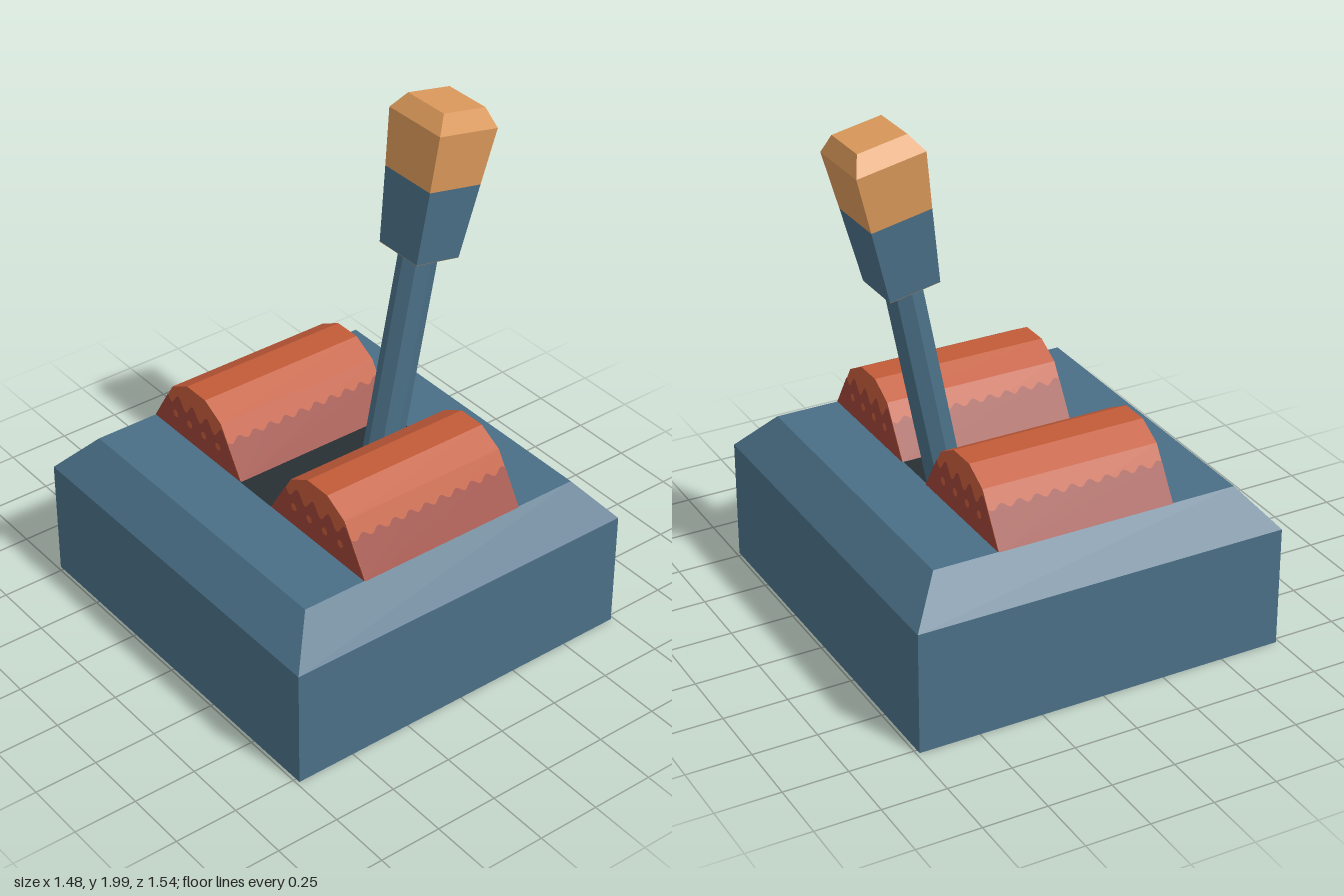
import * as THREE from 'three';

const material = (name, color) => {
  const m = new THREE.MeshStandardMaterial({ color });
  m.name = name;
  return m;
};

// Stacked rectangular rings [y, halfX, halfZ], joined by flat faces
function rings(levels, capBottom, capTop) {
  const corners = levels.map(([y, x, z]) => [[-x, y, z], [x, y, z], [x, y, -z], [-x, y, -z]]);
  const pos = [];
  const quad = (a, b, c, d) => pos.push(...a, ...b, ...c, ...a, ...c, ...d);
  for (let k = 0; k < corners.length - 1; k++) {
    const lo = corners[k], hi = corners[k + 1];
    for (let i = 0; i < 4; i++) {
      const j = (i + 1) % 4;
      quad(lo[i], lo[j], hi[j], hi[i]);
    }
  }
  if (capBottom) quad(...[...corners[0]].reverse());
  if (capTop) quad(...corners[corners.length - 1]);
  const geo = new THREE.BufferGeometry();
  geo.setAttribute('position', new THREE.Float32BufferAttribute(pos, 3));
  geo.computeVertexNormals();
  return geo;
}

function add(parent, name, geo, mat) {
  const mesh = new THREE.Mesh(geo, mat);
  mesh.name = name;
  parent.add(mesh);
  return mesh;
}

// Band with a straight foot and a wavy upper edge
function wavyBand(footHalf, topHalf, y0, y1, amp, waves) {
  const pts = [new THREE.Vector2(-footHalf, y0), new THREE.Vector2(footHalf, y0)];
  const n = waves * 8;
  for (let i = 0; i <= n; i++) {
    const t = i / n;
    pts.push(new THREE.Vector2(topHalf * (1 - 2 * t), y1 + amp * Math.sin(t * waves * Math.PI * 2)));
  }
  return new THREE.Shape(pts);
}

export function createModel() {
  const blue = material('slate blue', 0x4a6f86);
  const dark = material('dark slot', 0x2e363b);
  const orange = material('burnt orange', 0xc25b38);
  const red = material('dark red', 0x9b4438);
  const tan = material('tan', 0xda985a);

  const model = new THREE.Group();
  model.name = 'lever';

  // Bevelled base with a sunken slot
  const slotX = 0.353, slotZ = 0.095, top = 0.63, floor = 0.35;
  add(model, 'base', rings([[0, 0.738, 0.77], [0.48, 0.738, 0.77], [top, 0.61, 0.64], [top, slotX, slotZ]], true, false), blue);
  add(model, 'slot', rings([[top, slotX, slotZ], [floor, slotX, slotZ]], false, true), dark);

  // Rounded guards on both sides of the slot
  const length = 0.705, foot = 0.273, shoulder = 0.155, shoulderY = 0.82;
  const profile = new THREE.Shape([
    [-foot, top], [foot, top], [shoulder, shoulderY], [0.057, 0.873], [-0.057, 0.873], [-shoulder, shoulderY],
  ].map(([x, y]) => new THREE.Vector2(x, y)));
  const guardGeo = new THREE.ExtrudeGeometry(profile, { depth: length, bevelEnabled: false });
  guardGeo.translate(0, 0, -length / 2).rotateY(Math.PI / 2);

  // Half width of a guard at a given height
  const halfAt = (y) => foot - (y - top) * (foot - shoulder) / (shoulderY - top);

  // Scalloped band lying on the sloped side
  const sideGeo = new THREE.ShapeGeometry(wavyBand(length / 2, length / 2, top, 0.76, 0.009, 10));
  const p = sideGeo.attributes.position;
  for (let i = 0; i < p.count; i++) p.setZ(i, halfAt(p.getY(i)) + 0.003);
  sideGeo.computeVertexNormals();

  // Scalloped band with round holes on the flat end
  const endShape = wavyBand(foot, halfAt(0.775), top, 0.775, 0.024, 4);
  for (const x of [-0.135, -0.045, 0.045, 0.135]) {
    endShape.holes.push(new THREE.Path().absarc(x, 0.71, 0.016, 0, Math.PI * 2, true));
  }
  const endGeo = new THREE.ShapeGeometry(endShape, 6);
  endGeo.translate(0, 0, length / 2 + 0.003).rotateY(Math.PI / 2);

  for (const [name, z] of [['frontGuard', 0.368], ['backGuard', -0.368]]) {
    const guard = new THREE.Group();
    guard.name = name;
    guard.position.set(0.003, 0, z);
    add(guard, 'guardBody', guardGeo, orange);
    for (const turn of [0, Math.PI]) {
      add(guard, 'sideBand', sideGeo, red).rotation.y = turn;
      add(guard, 'endBand', endGeo, red).rotation.y = turn;
    }
    model.add(guard);
  }

  // Tilted lever; its origin is the underside of the handle
  const lever = new THREE.Group();
  lever.name = 'leverArm';
  lever.position.set(0.389, 1.402, 0.009);
  lever.rotation.z = -0.193;
  model.add(lever);

  const rodLength = 1.09;
  const rodGeo = new THREE.CylinderGeometry(0.073, 0.073, rodLength, 8).toNonIndexed();
  rodGeo.computeVertexNormals();
  rodGeo.translate(0, 0.02 - rodLength / 2, 0);
  add(lever, 'rod', rodGeo, blue);

  add(lever, 'handleUnderside', rings([[-0.002, 0.099, 0.105], [0, 0.1, 0.106]], true, false), tan);
  add(lever, 'handleGrip', rings([[0, 0.1, 0.106], [0.295, 0.119, 0.126]], false, false), blue);
  add(lever, 'handleKnob', rings([[0.295, 0.119, 0.126], [0.518, 0.135, 0.141], [0.585, 0.097, 0.099]], false, true), tan);

  return model;
}
